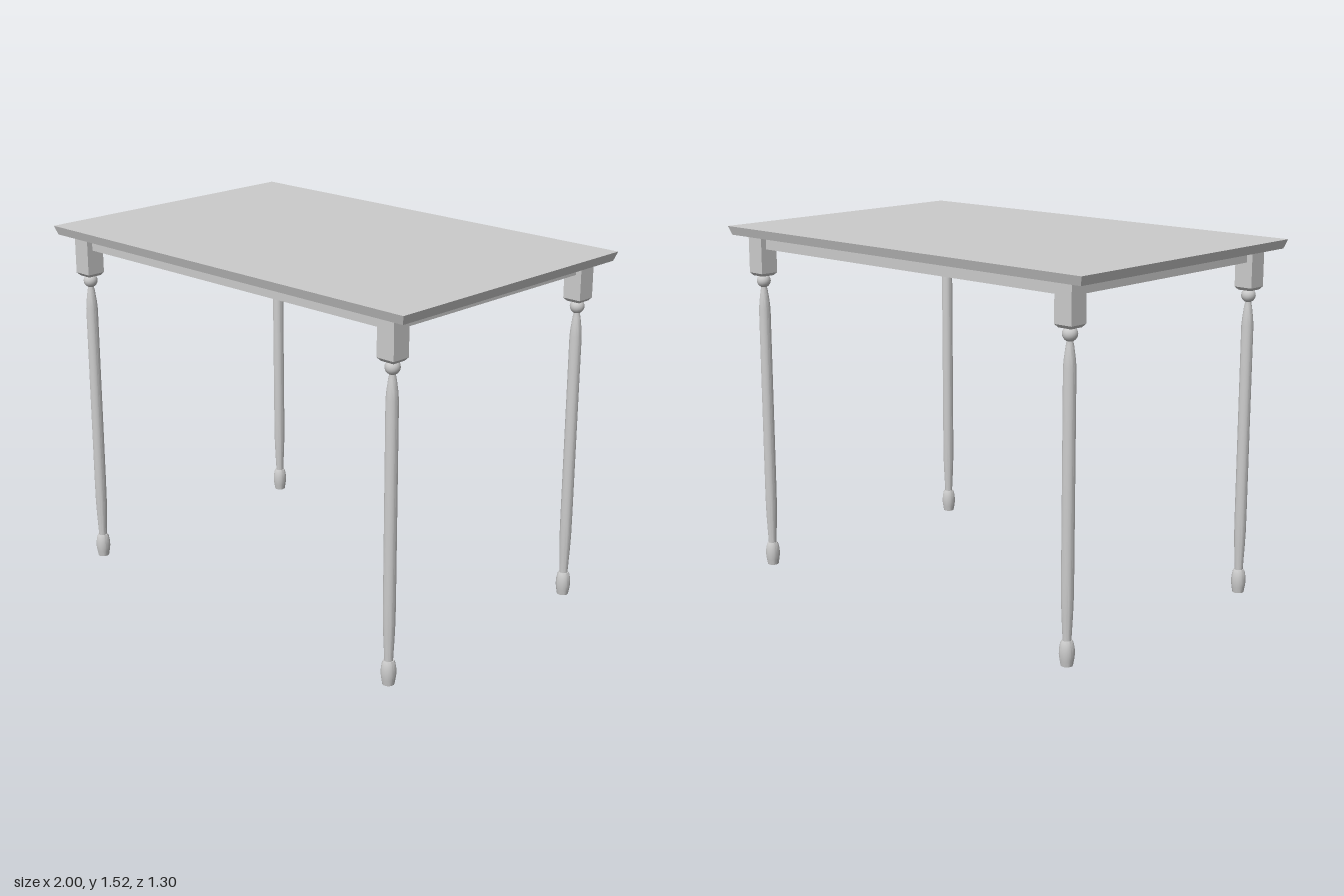
import * as THREE from 'three';
import { toCreasedNormals } from 'three/addons/utils/BufferGeometryUtils.js';

const material = new THREE.MeshStandardMaterial({ color: 0xcccccc });

const LEG_X = 0.875, LEG_Z = 0.563, BLOCK = 0.083;
const TOP_Y = 1.525, TOP_UNDER = 1.487, APRON_Y = 1.432;

function add(parent, name, geometry, x = 0, y = 0, z = 0) {
  const mesh = new THREE.Mesh(geometry, material);
  mesh.name = name;
  mesh.position.set(x, y, z);
  parent.add(mesh);
  return mesh;
}

// Box from y0 to y1 whose lower face is drawn in by inset on every side
function taperedBox(w, d, y0, y1, inset) {
  const g = new THREE.BoxGeometry(w, y1 - y0, d);
  const p = g.attributes.position;
  for (let i = 0; i < p.count; i++) {
    if (p.getY(i) < 0) {
      p.setX(i, p.getX(i) - Math.sign(p.getX(i)) * inset);
      p.setZ(i, p.getZ(i) - Math.sign(p.getZ(i)) * inset);
    }
  }
  g.translate(0, (y0 + y1) / 2, 0);
  g.computeVertexNormals();
  return g;
}

function turned(profile) {
  const points = profile.map(([r, y]) => new THREE.Vector2(r, y));
  return toCreasedNormals(new THREE.LatheGeometry(points, 20), 0.6);
}

export function createModel() {
  const table = new THREE.Group();
  table.name = 'table';

  // Top with undercut edges
  add(table, 'tableTop', taperedBox(2, 1.3, TOP_UNDER, TOP_Y, 0.013));

  // Apron rails between the corner blocks
  const railH = TOP_UNDER - APRON_Y, railY = (TOP_UNDER + APRON_Y) / 2, railT = 0.03;
  for (const s of [-1, 1]) {
    add(table, s > 0 ? 'frontApron' : 'backApron',
      new THREE.BoxGeometry(2 * LEG_X - BLOCK, railH, railT), 0, railY, s * LEG_Z);
    add(table, s > 0 ? 'leftApron' : 'rightApron',
      new THREE.BoxGeometry(railT, railH, 2 * LEG_Z - BLOCK), s * LEG_X, railY, 0);
  }

  // Shared leg shapes
  const block = new THREE.BoxGeometry(BLOCK, TOP_UNDER - 1.327, BLOCK);
  const chamfer = taperedBox(BLOCK, BLOCK, 1.314, 1.327, 0.011);
  const ball = new THREE.SphereGeometry(0.03, 20, 12);
  const shaft = turned([
    [0.017, 0.09], [0.018, 0.12], [0.022, 0.2], [0.0245, 0.27], [0.025, 0.36],
    [0.025, 1.165], [0.022, 1.2], [0.016, 1.245], [0.012, 1.265], [0.012, 1.28],
  ]);
  const foot = turned([
    [0, 0], [0.024, 0], [0.028, 0.023], [0.031, 0.045], [0.03, 0.07],
    [0.026, 0.092], [0.021, 0.102], [0, 0.102],
  ]);

  // Four turned legs
  for (const sx of [-1, 1]) for (const sz of [-1, 1]) {
    const leg = new THREE.Group();
    leg.name = (sz > 0 ? 'front' : 'back') + (sx > 0 ? 'Left' : 'Right') + 'Leg';
    leg.position.set(sx * LEG_X, 0, sz * LEG_Z);
    add(leg, 'cornerBlock', block, 0, (TOP_UNDER + 1.327) / 2, 0);
    add(leg, 'blockChamfer', chamfer);
    add(leg, 'ballTurning', ball, 0, 1.291, 0);
    add(leg, 'shaft', shaft);
    add(leg, 'foot', foot);
    table.add(leg);
  }
  return table;
}
